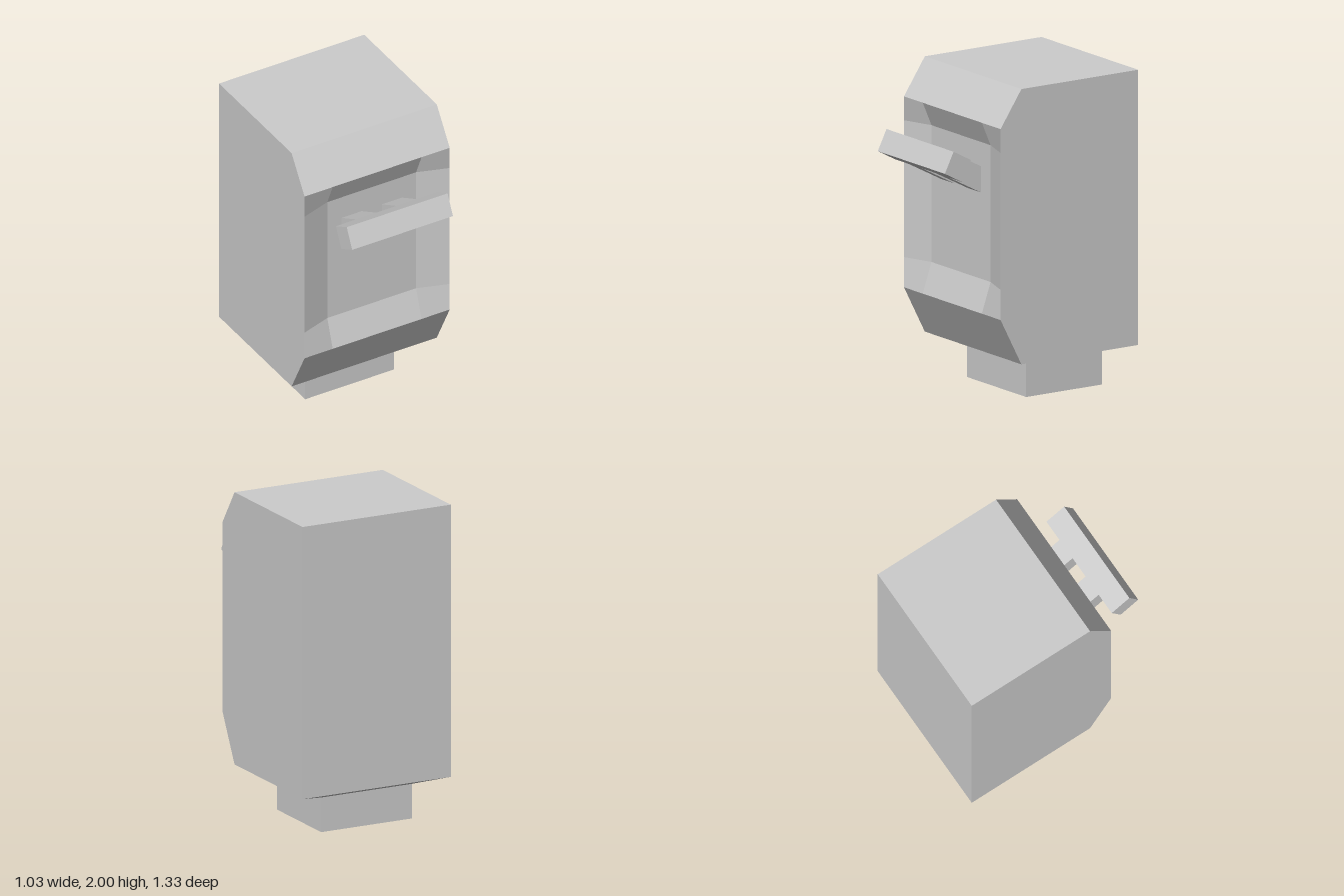
import * as THREE from 'three';

const HALF = 0.515;   // half width of the body
const INNER = 0.315;  // half width of the recess and the foot
const FRONT = 0.36, RECESS = 0.295, BACK = -0.665;

// Flat-shaded geometry from a list of polygons (corners counter-clockwise from outside)
function faces(polys) {
  const pos = [], nor = [];
  for (const p of polys) {
    const v = p.map(c => new THREE.Vector3(...c));
    const n = new THREE.Vector3(); // summed normal of the whole polygon
    for (let i = 1; i < v.length - 1; i++)
      n.add(v[i].clone().sub(v[0]).cross(v[i + 1].clone().sub(v[0])));
    n.normalize();
    for (let i = 1; i < v.length - 1; i++)
      for (const c of [v[0], v[i], v[i + 1]]) {
        pos.push(c.x, c.y, c.z);
        nor.push(n.x, n.y, n.z);
      }
  }
  const g = new THREE.BufferGeometry();
  g.setAttribute('position', new THREE.Float32BufferAttribute(pos, 3));
  g.setAttribute('normal', new THREE.Float32BufferAttribute(nor, 3));
  return g;
}

// Side profile given as [z, y], extruded along x and centred on cx
function slab(profile, width, cx = 0) {
  const shape = new THREE.Shape(profile.map(([z, y]) => new THREE.Vector2(z, y)));
  return new THREE.ExtrudeGeometry(shape, { depth: width, bevelEnabled: false })
    .translate(0, 0, -width / 2)
    .rotateY(-Math.PI / 2)
    .translate(cx, 0, 0);
}

export function createModel() {
  const group = new THREE.Group();
  const grey = new THREE.MeshStandardMaterial({ color: 0xcccccc });
  grey.name = 'grey';
  const add = (name, geometry) => {
    const mesh = new THREE.Mesh(geometry, grey);
    mesh.name = name;
    group.add(mesh);
  };

  // Body shell: two side walls joined by back, top and front bevels
  const profile = [[0.205, 0.27], [BACK, 0.27], [BACK, 2], [0.205, 2], [FRONT, 1.77], [FRONT, 0.57]];
  const at = (x, [z, y]) => [x, y, z];
  const shell = [
    profile.map(p => at(HALF, p)),
    profile.map(p => at(-HALF, p)).reverse(),
  ];
  for (const i of [1, 2, 3, 5]) {
    const a = profile[i], b = profile[(i + 1) % 6];
    shell.push([at(HALF, a), at(-HALF, a), at(-HALF, b), at(HALF, b)]);
  }
  add('bodyShell', faces(shell));

  // Front panel: a 3 x 3 grid whose centre is sunk into the body
  const xs = [-HALF, -INNER, INNER, HALF], ys = [0.57, 0.76, 1.62, 1.77];
  const inside = k => k === 1 || k === 2;
  const node = (i, j) => [xs[i], ys[j], inside(i) && inside(j) ? RECESS : FRONT];
  const panel = [];
  for (let i = 0; i < 3; i++)
    for (let j = 0; j < 3; j++) {
      const q = [node(i, j), node(i + 1, j), node(i + 1, j + 1), node(i, j + 1)];
      if (i !== j) q.push(q.shift()); // keep the corner folds mitred
      panel.push(q);
    }
  add('frontPanel', faces(panel));

  // Sloping underside between body and foot
  const ring = (x, y, z0, z1) => [[x, y, z1], [x, y, z0], [-x, y, z0], [-x, y, z1]];
  const upper = ring(HALF, 0.27, BACK, 0.205), lower = ring(INNER, 0.22, -0.535, 0.03);
  add('underside', faces(upper.map((u, i) => {
    const j = (i + 1) % 4;
    return [lower[i], lower[j], upper[j], u];
  })));

  // Foot
  add('foot', new THREE.BoxGeometry(2 * INNER, 0.22, 0.565).translate(0, 0.11, -0.2525));

  // Handle: a tilted bar on two arms
  add('handleBar', slab([[0.47, 1.56], [0.535, 1.43], [0.665, 1.5], [0.6, 1.63]], 0.715));
  for (const s of [-1, 1])
    add(s > 0 ? 'leftHandleArm' : 'rightHandleArm',
      slab([[0.29, 1.3], [0.535, 1.43], [0.47, 1.56], [0.29, 1.465]], 0.143, s * 0.143));

  return group;
}
